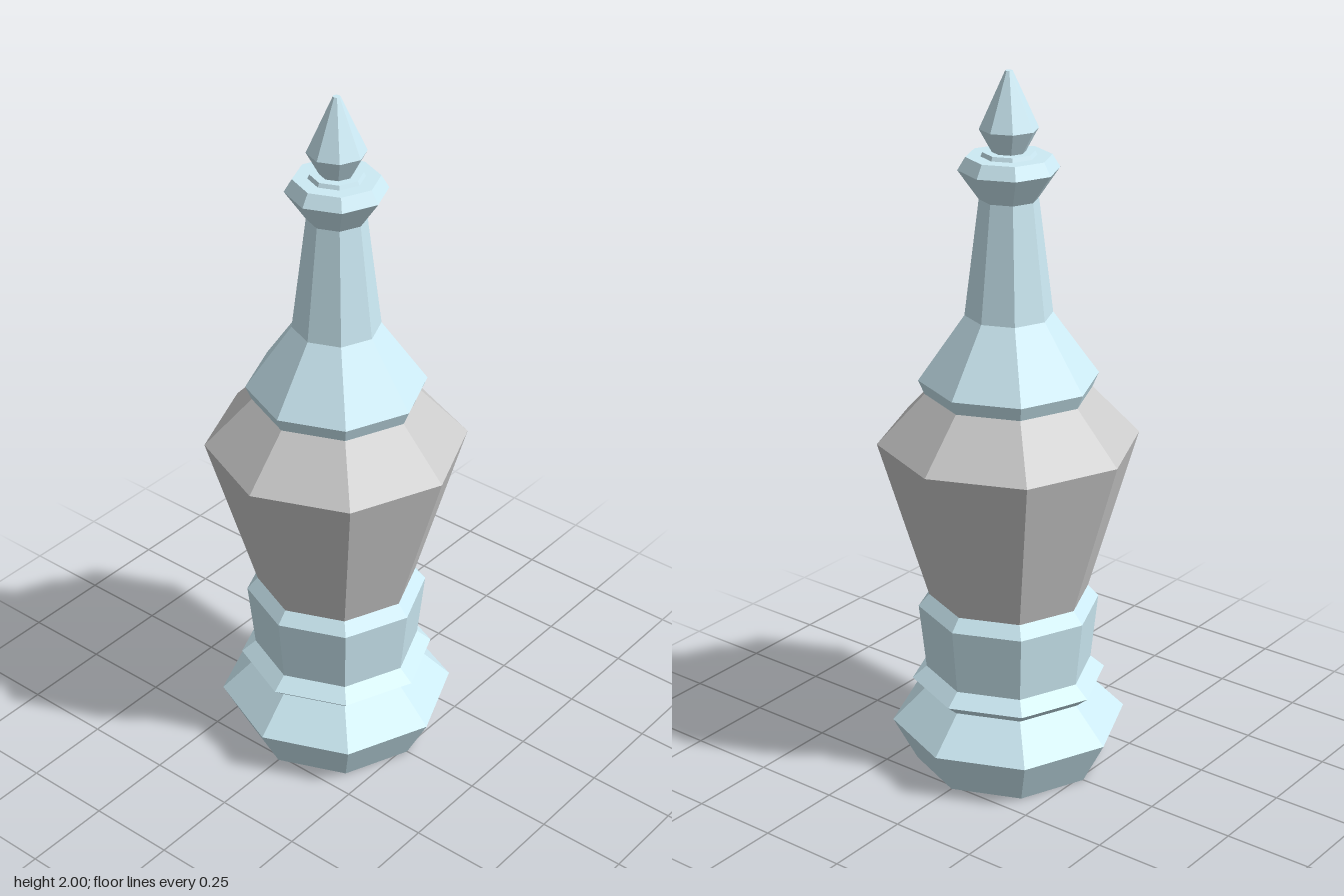
import * as THREE from 'three';

const SIDES = 8;
const blue = new THREE.MeshStandardMaterial({ color: 0xcdebf5, flatShading: true });
const grey = new THREE.MeshStandardMaterial({ color: 0xcccccc, flatShading: true });

// Closed octagonal turned part from [radius, height] pairs, listed bottom to top
function turned(name, material, profile) {
  const points = [[0, profile[0][1]], ...profile, [0, profile.at(-1)[1]]]
    .map(([r, y]) => new THREE.Vector2(r, y));
  const geometry = new THREE.LatheGeometry(points, SIDES).toNonIndexed();
  geometry.computeVertexNormals();
  const mesh = new THREE.Mesh(geometry, material);
  mesh.name = name;
  return mesh;
}

export function createModel() {
  const group = new THREE.Group();
  group.name = 'chessPiece';
  group.add(
    // Foot and stacked collars
    turned('base', blue, [[0.265, 0], [0.333, 0.13], [0.235, 0.23]]),
    turned('baseRing', blue, [[0.24, 0.23], [0.275, 0.26], [0.235, 0.295]]),
    turned('lowerCollar', blue, [[0.235, 0.295], [0.255, 0.485], [0.225, 0.52]]),
    // Grey flared body
    turned('body', grey, [[0.225, 0.52], [0.362, 0.98], [0.23, 1.12]]),
    // Cap sweeping up into the slender neck, with its top collar
    turned('neck', blue, [[0.23, 1.12], [0.247, 1.16], [0.12, 1.34], [0.08, 1.66]]),
    turned('topCollar', blue, [[0.08, 1.66], [0.136, 1.74], [0.115, 1.775]]),
    // Thin seat and pointed finial
    turned('finialSeat', blue, [[0.075, 1.775], [0.07, 1.786]]),
    turned('finial', blue, [[0.045, 1.786], [0.079, 1.848], [0.01, 2]]),
  );
  return group;
}
